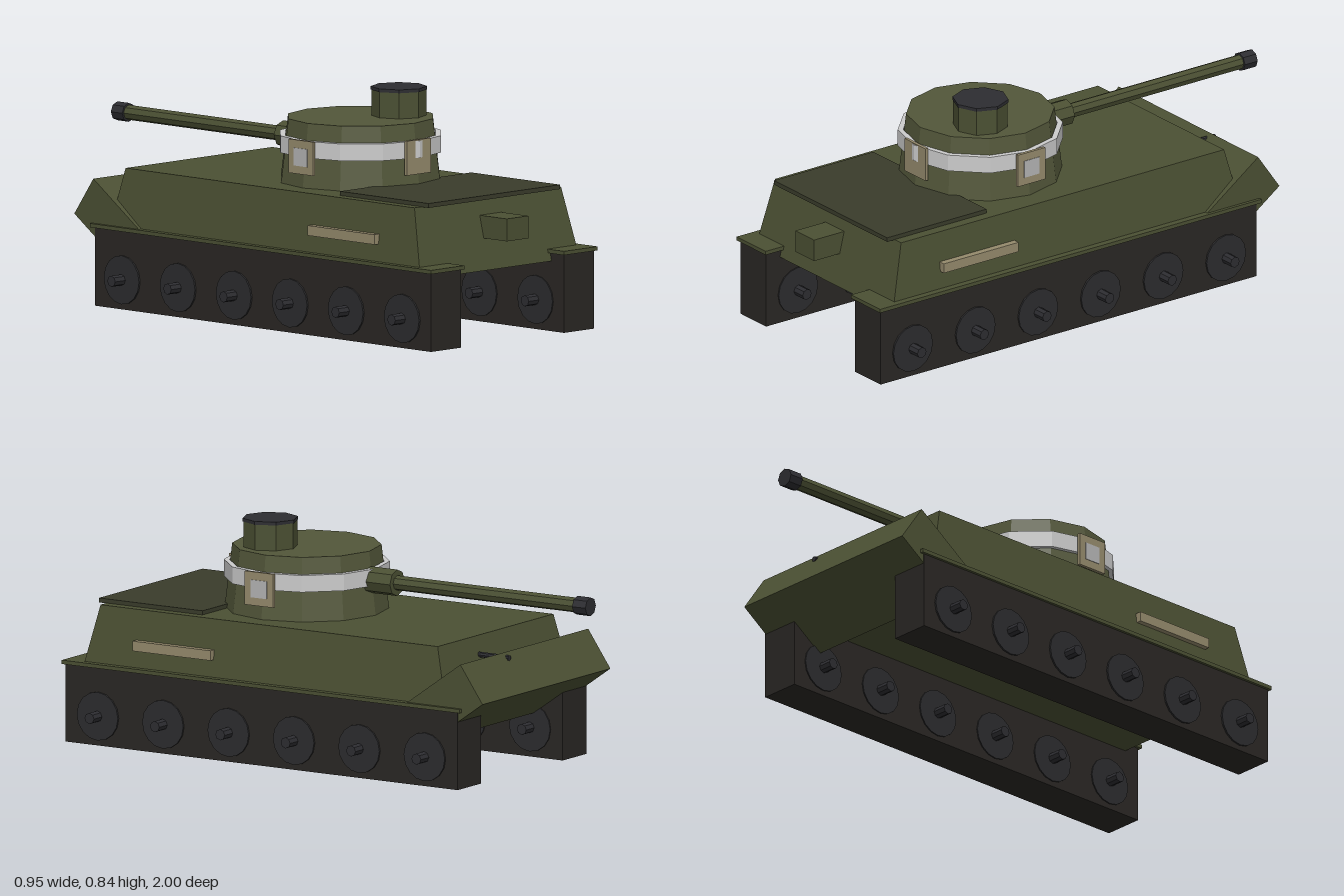
import * as THREE from 'three';

const mat = (color) => new THREE.MeshStandardMaterial({ color, flatShading: true });

export function createModel() {
  const model = new THREE.Group();
  const green = mat(0x4b5033), turretGreen = mat(0x53573a), deckGreen = mat(0x3a3c2b);
  const trackDark = mat(0x2a2724), wheelDark = mat(0x2c2c2e), steel = mat(0x2d2d31);
  const tan = mat(0x958a6c), pale = mat(0xb4b4b4);

  const add = (name, geometry, material, x, y, z) => {
    const mesh = new THREE.Mesh(geometry, material);
    mesh.name = name;
    mesh.position.set(x, y, z);
    model.add(mesh);
    return mesh;
  };
  const box = (name, material, w, h, d, x, y, z) =>
    add(name, new THREE.BoxGeometry(w, h, d), material, x, y, z);
  // Rod along z between two depths
  const rodZ = (name, material, r, z0, z1, x, y, sides = 8) =>
    add(name, new THREE.CylinderGeometry(r, r, Math.abs(z1 - z0), sides).rotateX(Math.PI / 2),
      material, x, y, (z0 + z1) / 2);
  // Rod along x, centred
  const rodX = (name, material, r, length, x, y, z, sides) =>
    add(name, new THREE.CylinderGeometry(r, r, length, sides).rotateZ(Math.PI / 2), material, x, y, z);

  // Hull: a box narrowing evenly towards the top
  const hull = new THREE.BoxGeometry(0.81, 0.25, 1.566);
  const p = hull.attributes.position;
  for (let i = 0; i < p.count; i++) {
    if (p.getY(i) > 0) p.setXYZ(i, p.getX(i) * 0.922, p.getY(i), p.getZ(i) * 0.922);
  }
  hull.computeVertexNormals();
  add('hull', hull, green, 0, 0.378, 0.129);

  // Tilted nose plate at the gun end
  const nose = box('nosePlate', green, 0.825, 0.165, 0.28, 0, 0.308, -0.649);
  nose.rotation.x = Math.atan2(0.575, 0.815);

  // Deck cover, tail box and hull gun
  box('deckCover', deckGreen, 0.67, 0.016, 0.444, 0, 0.51, 0.662);
  box('tailBox', green, 0.11, 0.081, 0.16, 0, 0.405, 0.92);
  rodZ('hullGun', steel, 0.01, -0.56, -0.737, 0.127, 0.437);

  // Running gear and side fittings, mirrored
  for (const s of [-1, 1]) {
    box('track', trackDark, 0.152, 0.282, 1.68, s * 0.339, 0.141, 0.134);
    box('fender', green, 0.172, 0.014, 1.705, s * 0.339, 0.289, 0.131);
    box('sideStrip', tan, 0.03, 0.036, 0.334, s * 0.397, 0.376, 0.522);
    for (let i = 0; i < 6; i++) {
      const z = 0.833 - 0.28 * i;
      rodX('wheel', wheelDark, 0.088, 0.163, s * 0.34, 0.107, z, 16);
      rodX('wheelHub', steel, 0.02, 0.266, s * 0.34, 0.107, z, 8);
    }
    // Turret side badges
    box('sideBadge', tan, 0.012, 0.122, 0.122, s * 0.301, 0.615, 0.217);
    box('sideBadgeInset', pale, 0.004, 0.064, 0.068, s * 0.307, 0.615, 0.217);
  }

  // Turret
  const tz = 0.215;
  add('turret', new THREE.CylinderGeometry(0.267, 0.294, 0.23, 12), turretGreen, 0, 0.618, tz);
  const ring = [[0.274, 0.612], [0.297, 0.612], [0.297, 0.673], [0.277, 0.673], [0.274, 0.612]]
    .map(([r, y]) => new THREE.Vector2(r, y));
  const band = add('turretBand', new THREE.LatheGeometry(ring, 12), mat(0xbcbcbc), 0, 0, tz);
  band.material.side = THREE.DoubleSide;
  box('rearBadge', tan, 0.123, 0.124, 0.012, 0, 0.615, 0.501);

  // Cupola with its lid
  add('cupola', new THREE.CylinderGeometry(0.098, 0.098, 0.11, 8), green, 0.111, 0.772, 0.298);
  add('cupolaLid', new THREE.CylinderGeometry(0.101, 0.101, 0.012, 8), steel, 0.111, 0.832, 0.298);

  // Main gun
  rodZ('mantlet', green, 0.048, 0, -0.172, 0, 0.631);
  rodZ('barrel', green, 0.027, -0.1, -0.96, 0, 0.631);
  rodZ('muzzle', steel, 0.034, -0.943, -1, 0, 0.631);

  return model;
}
